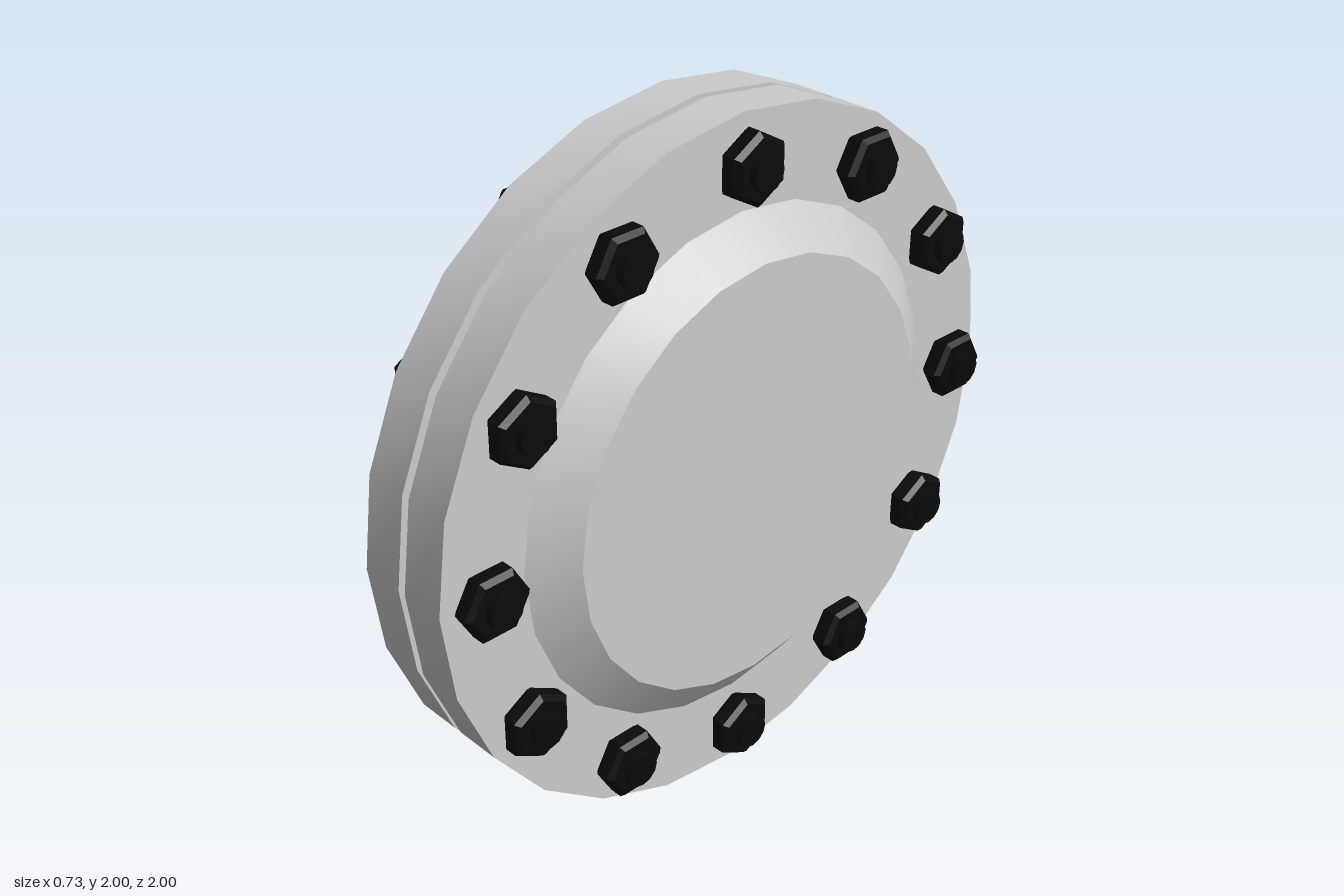
import * as THREE from 'three';
import { toCreasedNormals } from 'three/addons/utils/BufferGeometryUtils.js';

const grey = new THREE.MeshStandardMaterial({ color: 0xcccccc });
const black = new THREE.MeshStandardMaterial({ color: 0x0a0a0a });

// Turned solid along the x axis; profile is [x, radius] from -x to +x.
function turned(name, profile, sides, material) {
  const points = profile.map(([x, r]) => new THREE.Vector2(r, x));
  const geometry = new THREE.LatheGeometry(points, sides).rotateZ(-Math.PI / 2);
  const mesh = new THREE.Mesh(toCreasedNormals(geometry, 0.6), material);
  mesh.name = name;
  return mesh;
}

// Plain disc or cylinder between two x positions.
const disc = (x0, x1, r) => [[x0, 0], [x0, r], [x1, r], [x1, 0]];

// Hexagonal head with chamfered rims.
function hexHead(x0, x1) {
  const r = 0.1, c = 0.014;
  return [[x0, 0], [x0, r - c], [x0 + c, r], [x1 - c, r], [x1, r - c], [x1, 0]];
}

function createBolt() {
  const bolt = new THREE.Group();
  bolt.name = 'bolt';
  bolt.add(
    turned('boltShank', disc(-0.112, 0.36, 0.05), 12, black),
    turned('boltHead', hexHead(0.27, 0.335), 6, black),
    turned('boltNut', hexHead(-0.082, -0.02), 6, black),
  );
  bolt.position.z = 0.865;
  return bolt;
}

export function createModel() {
  const model = new THREE.Group();
  model.name = 'boltedFlange';

  // Two facing flange plates with a gasket between them
  model.add(
    turned('rightFlange', disc(-0.02, 0.11, 1), 24, grey),
    turned('leftFlange', disc(0.135, 0.27, 1), 24, grey),
    turned('gasket', disc(0.1, 0.145, 0.69), 24, grey),
  );

  // Long tapered neck on one side, short tapered cover on the other
  model.add(
    turned('taperedNeck', [[-0.365, 0], [-0.365, 0.625], [-0.02, 0.74], [-0.01, 0]], 24, grey),
    turned('cover', [[0.26, 0], [0.27, 0.74], [0.355, 0.625], [0.355, 0]], 24, grey),
  );

  // Ring of twelve bolts
  for (let i = 0; i < 12; i++) {
    const arm = new THREE.Group();
    arm.name = 'boltPosition';
    arm.add(createBolt());
    arm.rotation.x = (i * Math.PI) / 6;
    model.add(arm);
  }

  // Stand the rim on the ground
  model.children.forEach((part) => { part.position.y = 1; });
  return model;
}
